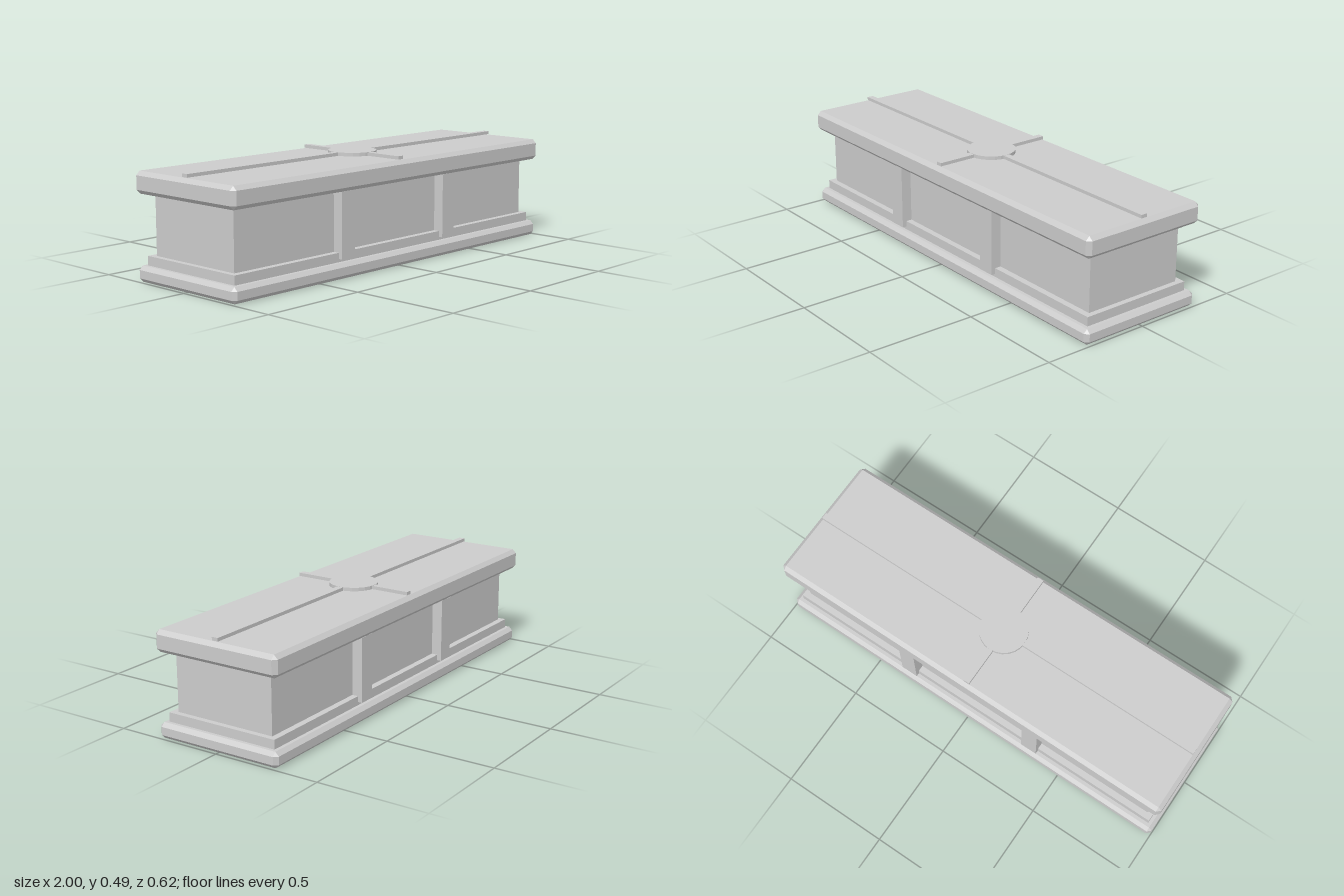
import * as THREE from 'three';
import { ConvexGeometry } from 'three/addons/geometries/ConvexGeometry.js';

const material = new THREE.MeshStandardMaterial({ color: 0xcccccc, flatShading: true });

// Box with every edge and corner chamfered by c
function chamferedBox(w, h, d, c) {
  const points = [];
  const [x, y, z] = [w / 2, h / 2, d / 2];
  for (const sx of [-1, 1]) for (const sy of [-1, 1]) for (const sz of [-1, 1]) {
    points.push(
      new THREE.Vector3(sx * x, sy * (y - c), sz * (z - c)),
      new THREE.Vector3(sx * (x - c), sy * y, sz * (z - c)),
      new THREE.Vector3(sx * (x - c), sy * (y - c), sz * z));
  }
  return new ConvexGeometry(points);
}

export function createModel() {
  const model = new THREE.Group();
  model.name = 'stoneChest';

  const add = (name, geometry, x, y, z) => {
    const mesh = new THREE.Mesh(geometry, material);
    mesh.name = name;
    mesh.position.set(x, y, z);
    model.add(mesh);
  };
  // Plain box given by its bottom and top heights
  const addBox = (name, w, d, y0, y1, x = 0, z = 0) =>
    add(name, new THREE.BoxGeometry(w, y1 - y0, d), x, (y0 + y1) / 2, z);

  // Stepped base
  add('base', chamferedBox(1.995, 0.07, 0.608, 0.017), 0, 0.035, 0);
  addBox('plinthStep', 1.93, 0.542, 0.07, 0.111);

  // Body with two pilasters on each long side
  addBox('body', 1.88, 0.484, 0.111, 0.376);
  for (const x of [-0.332, 0.332])
    for (const side of [-1, 1])
      addBox('pilaster', 0.08, 0.052, 0.084, 0.376, x, side * 0.265);

  // Lid
  add('lid', chamferedBox(2, 0.097, 0.616, 0.018), 0, 0.4245, 0);

  // Raised cross bands and central medallion
  addBox('lengthwiseBand', 1.966, 0.03, 0.475, 0.49);
  addBox('crosswiseBand', 0.03, 0.582, 0.475, 0.49);
  add('medallion', new THREE.CylinderGeometry(0.11, 0.11, 0.016, 24), 0, 0.483, 0);

  return model;
}
